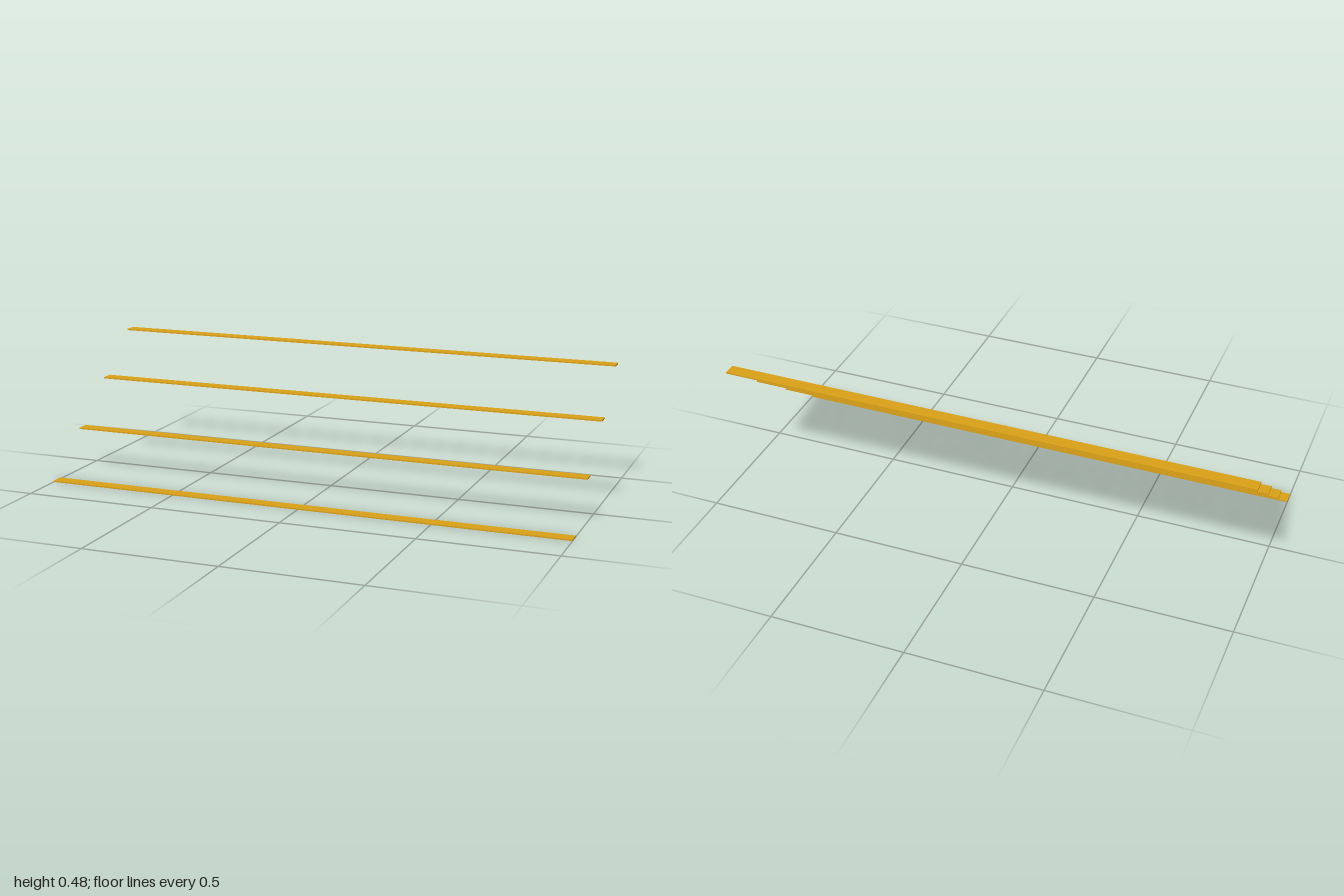
import * as THREE from 'three';

// Four thin yellow nosing strips, rising toward the back like stair edges
export function createModel() {
  const group = new THREE.Group();
  group.name = 'stairNosingStrips';

  const count = 4, rise = 0.1595, run = 0.206;
  const length = 2, thickness = 0.005, depth = 0.049;
  const geometry = new THREE.BoxGeometry(length, thickness, depth);
  const material = new THREE.MeshStandardMaterial({ color: 0xd9a016 });

  for (let i = 0; i < count; i++) {
    const strip = new THREE.Mesh(geometry, material);
    strip.name = `nosingStrip${i + 1}`;
    strip.position.set(0, thickness / 2 + i * rise, ((count - 1) / 2 - i) * run);
    group.add(strip);
  }
  return group;
}
